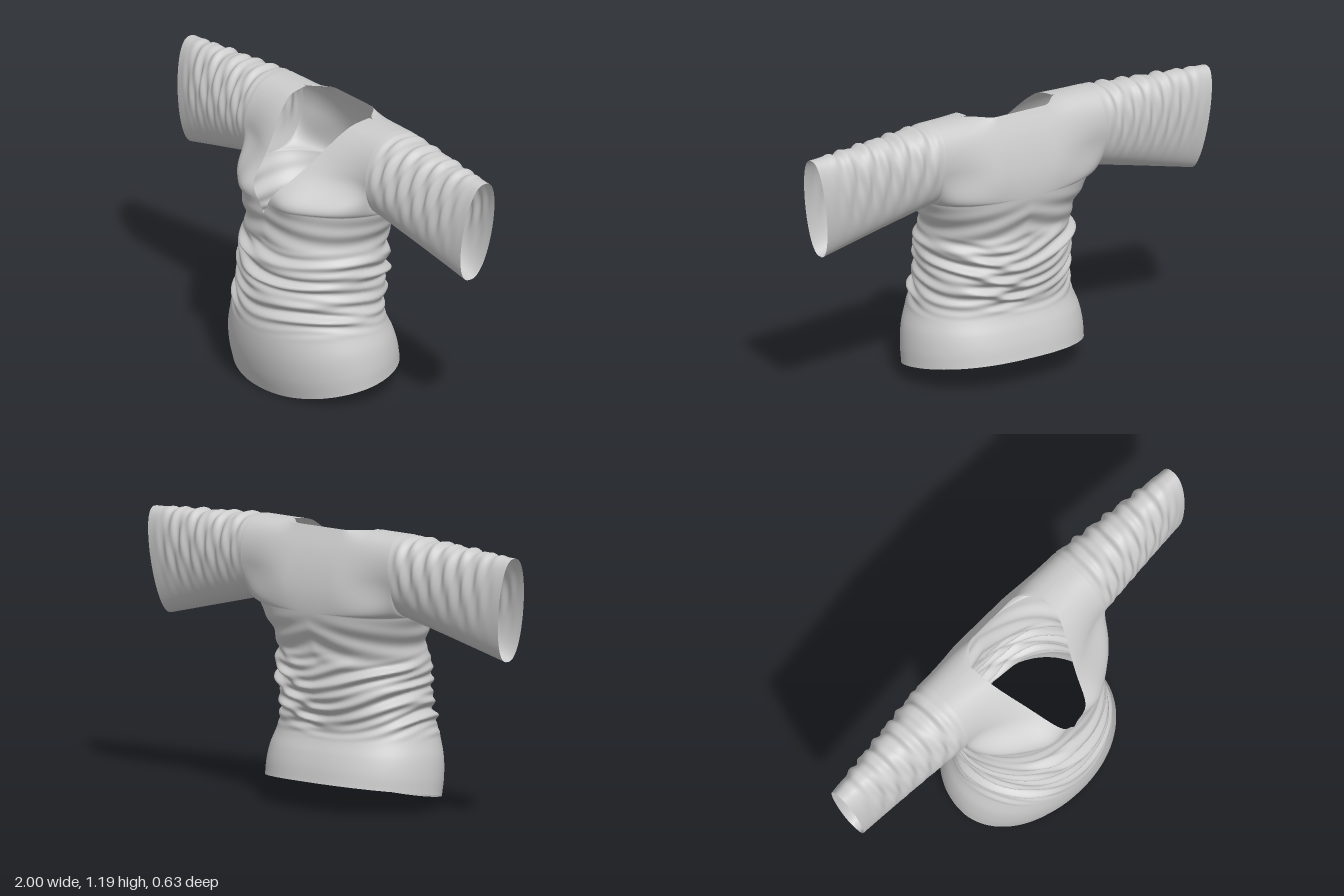
import * as THREE from 'three';
import { mergeGeometries, mergeVertices } from 'three/addons/utils/BufferGeometryUtils.js';

const { smoothstep, lerp } = THREE.MathUtils;
const ARMPIT = 0.84, SHOULDER = 1.19, ARM_X = 0.4, ARC = 40;

// Smooth profile through [position, value] pairs
function profile(pairs) {
  const c = new THREE.CubicInterpolant(pairs.map(p => p[0]), pairs.map(p => p[1]), 1, [0]);
  return t => c.evaluate(t)[0];
}

const halfWidth = profile([[0, 0.41], [0.1, 0.408], [0.2, 0.395], [0.3, 0.365], [0.4, 0.343], [0.5, 0.333],
  [0.6, 0.348], [0.66, 0.335], [0.75, 0.36], [0.84, ARM_X], [1.2, ARM_X]]);
const frontZ = profile([[0, 0.262], [0.1, 0.292], [0.2, 0.31], [0.3, 0.312], [0.4, 0.296], [0.5, 0.29], [0.6, 0.272],
  [0.66, 0.25], [0.8, 0.25], [0.9, 0.24], [0.98, 0.18], [1.05, 0.11], [1.1, 0.06], [1.15, 0], [1.18, -0.06], [1.19, -0.14]]);
const backZ = profile([[0, -0.315], [0.12, -0.3], [0.2, -0.282], [0.3, -0.25], [0.36, -0.245], [0.42, -0.262],
  [0.5, -0.28], [0.6, -0.275], [0.66, -0.27], [0.72, -0.285], [0.8, -0.31], [0.9, -0.317], [1, -0.302], [1.1, -0.27], [1.19, -0.225]]);
const midZ = profile([[0, -0.005], [0.3, -0.01], [0.6, -0.03], [0.84, -0.1], [1.0, -0.115], [1.19, -0.14]]);
const neckX = profile([[0.79, 0], [0.86, 0.045], [0.92, 0.085], [1.05, 0.15], [1.14, 0.192], [1.19, 0.215]]);

// Half thickness of the armhole at loop angle phi
const bulge = phi => Math.pow(Math.abs(Math.sin(phi)), 0.8);

// Heights of the torso rows: hem to neck point, to armpit, then round over the shoulder
const rows = [];
for (let i = 0; i < 130; i++) rows.push({ y: 0.79 * i / 130, phi: 0 });
for (let i = 0; i < 8; i++) rows.push({ y: lerp(0.79, ARMPIT, i / 8), phi: 0 });
for (let i = 0; i <= ARC; i++) {
  const phi = Math.PI * i / ARC;
  rows.push({ y: ARMPIT + (SHOULDER - ARMPIT) * (1 - Math.cos(phi)) / 2, phi });
}

// Sheet of quads; fn(i, j) gives each point
function sheet(nRows, nCols, fn, flip) {
  const pos = [], idx = [];
  for (let i = 0; i <= nRows; i++) for (let j = 0; j <= nCols; j++) pos.push(...fn(i, j));
  for (let i = 0; i < nRows; i++) for (let j = 0; j < nCols; j++) {
    const a = i * (nCols + 1) + j, b = a + 1, c = a + nCols + 1, d = c + 1;
    if (flip) idx.push(a, d, b, a, c, d);
    else idx.push(a, b, d, a, d, c);
  }
  const g = new THREE.BufferGeometry();
  g.setAttribute('position', new THREE.Float32BufferAttribute(pos, 3));
  g.setIndex(idx);
  return g;
}

// Gathered folds round the waist, fading out at the hem and chest
function waistFolds(th, y) {
  const c = Math.cos(th), s = Math.sin(th);
  const env = smoothstep(y, 0.27, 0.4) * (1 - smoothstep(y, 0.59, 0.68));
  const t = y - 0.03 * c + 0.022 * Math.cos(2 * th) + 0.012 * Math.sin(3 * th + 9 * y);
  const wave = Math.sin(t * 78 + 0.8 * Math.sin(2 * th + 1));
  const cross = Math.sin(t * 125 + 5 * s + 2 * Math.cos(3 * th));
  const fold = Math.pow(0.5 + 0.5 * wave, 1.6) - 0.4;
  const strength = 0.6 + 0.4 * Math.sin(3 * th + 14 * y);
  return env * (0.024 * fold * strength + 0.006 * cross);
}

// Soft drag folds between the waist and the armpits
function chestFolds(th, y) {
  const env = smoothstep(y, 0.58, 0.68) * (1 - smoothstep(y, 0.74, ARMPIT));
  return 0.006 * env * Math.sin(y * 62 + 5 * Math.abs(Math.sin(th)) + 2 * Math.cos(th));
}

// A point on the torso: side +1 or -1 in x, front or back panel, t from centre to side seam
function torsoPoint(row, side, front, t) {
  const { phi } = row;
  let y = row.y;
  const w = halfWidth(y), mid = midZ(y);
  const start = front && y >= 0.79 ? Math.asin(Math.min(1, neckX(y) / w)) : 0;
  const a = lerp(start, Math.PI / 2, t);
  let x = w * Math.sin(a);
  const r = Math.min(1, x / w);
  const high = smoothstep(y, ARMPIT, 1.0);
  const edge = mid + (front ? 1 : -1) * 0.15 * bulge(phi);
  const centre = front ? frontZ(y) : backZ(y);
  const p = front ? 2.1 : 2.5;
  let f = Math.sqrt(Math.max(0, 1 - Math.pow(r, p)));
  f = lerp(f, 1 - smoothstep(r, front ? 0 : 0.3, 1), high);
  if (!front) f = lerp(f, 1 - smoothstep(x, 0.12, 0.24), smoothstep(y, 1.13, SHOULDER));
  let z = edge + (centre - edge) * f;
  x *= side;
  // Fullness of the bust
  if (front) z += 0.028 * Math.exp(-(((Math.abs(x) - 0.14) / 0.09) ** 2) - ((y - 0.88) / 0.07) ** 2);
  // Folds push outwards from the middle
  const th = Math.atan2(x, z - mid);
  const d = waistFolds(th, y) + chestFolds(th, y);
  x += d * Math.sin(th);
  z += d * Math.cos(th);
  // Hem dips at the front and rises at the back
  const hem = 0.075 - 0.15 * z - (z > 0 ? 0.5 * z * z : 0);
  if (y < 0.4) y += hem * (1 - y / 0.4) ** 1.5;
  return [Math.abs(x) < 1e-6 ? 0 : x, y, z];
}

function torsoGeometry() {
  const n = rows.length - 1, cols = 48, parts = [];
  for (const side of [1, -1]) for (const front of [true, false]) {
    parts.push(sheet(n, cols, (i, j) => torsoPoint(rows[i], side, front, j / cols), (side > 0) !== front));
  }
  return mergeVertices(mergeGeometries(parts), 1e-5);
}

// Wide flat sleeve: loops from the armhole to the slanted cuff
function sleevePoint(side, phi, u) {
  const s = (1 - Math.cos(phi)) / 2;
  const bottom = lerp(ARMPIT, 0.708, u);
  const top = lerp(SHOULDER, 1.155, Math.pow(u, 0.8));
  let x = lerp(ARM_X, lerp(0.935, 1, s), u);
  let y = lerp(bottom, top, s);
  const mid = lerp(midZ(lerp(ARMPIT, SHOULDER, s)), lerp(-0.11, -0.14, s), u);
  let half = lerp(0.15, 0.078, u) * bulge(phi);
  // Diagonal creases, strongest along the top and near the shoulder
  const env = smoothstep(u, 0, 0.12) * (1 - smoothstep(u, 0.7, 1)) * smoothstep(s, 0.1, 0.75);
  const k = side * 0.7 + (phi > Math.PI ? 1 : 0) * Math.sin(phi);
  const crease = Math.sin(44 * u + 7 * s + k) + 0.6 * Math.sin(71 * u - 9 * s + 2 * k);
  const d = env * 0.0065 * crease;
  half += d * Math.abs(Math.sin(phi));
  y -= d * Math.cos(phi) * 0.9;
  return [side * x, y, mid + Math.sign(Math.sin(phi)) * half];
}

function sleeveGeometry(side) {
  const cols = 80;
  const g = sheet(2 * ARC, cols, (i, j) => sleevePoint(side, Math.PI * i / ARC, j / cols), side < 0);
  return mergeVertices(g, 1e-5);
}

export function createModel() {
  const group = new THREE.Group();
  group.name = 'tunic';
  const cloth = new THREE.MeshStandardMaterial({ color: 0xcccccc, side: THREE.DoubleSide });
  const add = (name, geometry) => {
    geometry.computeVertexNormals();
    const mesh = new THREE.Mesh(geometry, cloth);
    mesh.name = name;
    group.add(mesh);
  };
  add('bodice', torsoGeometry());
  add('leftSleeve', sleeveGeometry(1));
  add('rightSleeve', sleeveGeometry(-1));
  return group;
}
